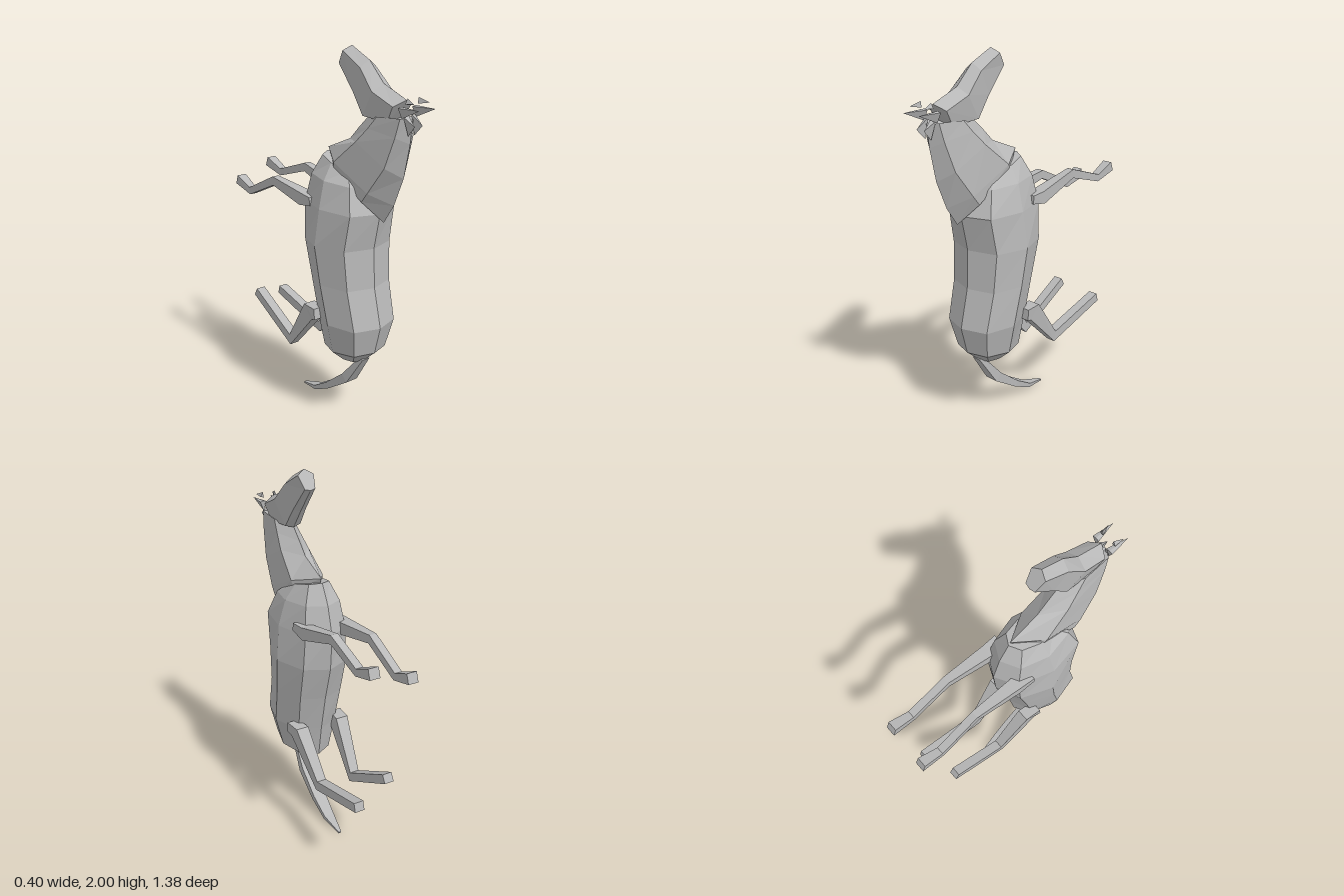
import * as THREE from 'three';

const grey = new THREE.MeshStandardMaterial({ color: 0xb8b8b8, flatShading: true });
grey.name = 'grey coat';

// Closed loft through rings of [x, y, z] points, capped at both ends.
function loft(name, rings) {
  const n = rings[0].length, tris = [];
  for (let i = 0; i < rings.length - 1; i++) {
    for (let j = 0; j < n; j++) {
      const k = (j + 1) % n, a = rings[i], b = rings[i + 1];
      tris.push([a[j], a[k], b[k]], [a[j], b[k], b[j]]);
    }
  }
  const first = rings[0], last = rings[rings.length - 1];
  for (let j = 1; j < n - 1; j++) {
    tris.push([first[0], first[j + 1], first[j]], [last[0], last[j], last[j + 1]]);
  }
  // Turn the faces outwards whatever direction the rings run in
  const v = (p) => new THREE.Vector3(...p);
  const volume = tris.reduce((s, [a, b, c]) => s + v(a).dot(v(b).cross(v(c))), 0);
  const points = tris.flatMap((t) => (volume < 0 ? [t[0], t[2], t[1]] : t)).flat();
  const geometry = new THREE.BufferGeometry();
  geometry.setAttribute('position', new THREE.Float32BufferAttribute(points, 3));
  geometry.computeVertexNormals();
  const mesh = new THREE.Mesh(geometry, grey);
  mesh.name = name;
  return mesh;
}

// Mirrored ring from half-section points [x, y, z] listed from ridge to underside.
const mirrorRing = (half) => [
  ...half,
  ...half.slice(1, -1).reverse().map(([x, y, z]) => [-x, y, z]),
];

// Four-sided limb along stations [x, y, z, half width, half thickness].
function limb(name, stations) {
  const rings = stations.map(([x, y, z, w, t], i) => {
    const a = stations[Math.max(i - 1, 0)], b = stations[Math.min(i + 1, stations.length - 1)];
    const len = Math.hypot(b[1] - a[1], b[2] - a[2]);
    const ny = (-(b[2] - a[2]) / len) * t, nz = ((b[1] - a[1]) / len) * t;
    return [
      [x - w, y + ny, z + nz], [x + w, y + ny, z + nz],
      [x + w, y - ny, z - nz], [x - w, y - ny, z - nz],
    ];
  });
  return loft(name, rings);
}

export function createModel() {
  const model = new THREE.Group();
  model.name = 'rearing horse';

  // Trunk: back y, belly y, back z, belly z, back edge width, side width, belly edge width
  const trunk = [
    [0.355, 0.345, 0.29, 0.12, 0.05, 0.065, 0.045],
    [0.435, 0.40, 0.38, 0.03, 0.11, 0.14, 0.09],
    [0.59, 0.585, 0.42, 0.0, 0.14, 0.18, 0.115],
    [0.80, 0.80, 0.37, -0.045, 0.145, 0.19, 0.125],
    [1.01, 1.0, 0.36, -0.10, 0.155, 0.20, 0.13],
    [1.20, 1.20, 0.40, -0.114, 0.148, 0.18, 0.12],
    [1.33, 1.35, 0.34, -0.07, 0.11, 0.142, 0.10],
    [1.39, 1.455, 0.26, -0.01, 0.06, 0.085, 0.06],
  ];
  model.add(loft('body', trunk.map(([yb, yv, zb, zv, wb, ws, wv]) => {
    const at = (x, t) => [x, yb + (yv - yb) * t, zb + (zv - zb) * t];
    return mirrorRing([at(0, 0), at(wb, 0.11), at(ws, 0.5), at(wv, 0.87), at(0, 1)]);
  })));

  // Neck: crest, crest edge, throat edge, throat
  model.add(loft('neck', [
    [[0, 1.164, 0.427], [0.09, 1.27, 0.36], [0.085, 1.39, 0.14], [0, 1.43, 0.02]],
    [[0, 1.265, 0.495], [0.09, 1.32, 0.40], [0.095, 1.434, 0.155], [0, 1.476, 0.0]],
    [[0, 1.41, 0.555], [0.075, 1.46, 0.50], [0.08, 1.556, 0.30], [0, 1.545, 0.17]],
    [[0, 1.58, 0.59], [0.06, 1.61, 0.55], [0.065, 1.63, 0.37], [0, 1.61, 0.235]],
    [[0, 1.69, 0.60], [0.05, 1.70, 0.57], [0.055, 1.69, 0.42], [0, 1.67, 0.30]],
  ].map(mirrorRing)));

  // Head: ridge, cheek, jaw edge, chin
  model.add(loft('head', [
    [[0, 1.78, 0.56], [0.06, 1.75, 0.53], [0.045, 1.67, 0.48], [0, 1.66, 0.475]],
    [[0, 1.84, 0.405], [0.066, 1.805, 0.395], [0.045, 1.68, 0.31], [0, 1.67, 0.30]],
    [[0, 1.94, 0.305], [0.052, 1.905, 0.295], [0.038, 1.785, 0.23], [0, 1.773, 0.22]],
    [[0, 2.0, 0.178], [0.045, 1.975, 0.16], [0.03, 1.912, 0.115], [0, 1.905, 0.11]],
  ].map(mirrorRing)));

  // Ears and the small tufts beside them
  for (const s of [-1, 1]) {
    const spike = (name, base, tip) => model.add(loft(name, [
      base.map(([x, y, z]) => [s * x, y, z]),
      base.map(() => [s * tip[0], tip[1], tip[2]]),
    ]));
    spike('ear', [[0.025, 1.75, 0.57], [0.045, 1.755, 0.57], [0.065, 1.75, 0.57], [0.045, 1.70, 0.575]],
      [0.052, 1.75, 0.69]);
    spike('earTuft', [[0.035, 1.795, 0.60], [0.05, 1.77, 0.60], [0.03, 1.765, 0.60]], [0.05, 1.775, 0.655]);
    spike('maneTuft', [[0.01, 1.72, 0.58], [0.04, 1.71, 0.58], [0.02, 1.62, 0.595]], [0.025, 1.67, 0.64]);
  }

  // Front legs: the left one is raised higher
  for (const [s, drop, name] of [[1, 0, 'leftFrontLeg'], [-1, 1, 'rightFrontLeg']]) {
    model.add(limb(name, [
      [s * 0.125, 1.23 - 0.02 * drop, 0.03, 0.028, 0.022],
      [s * 0.112, 1.222 - 0.015 * drop, -0.06, 0.036, 0.034],
      [s * 0.109, 1.292 - 0.045 * drop, -0.325, 0.021, 0.024],
      [s * 0.109, 1.219 - 0.077 * drop, -0.557, 0.021, 0.02],
      [s * 0.107, 1.264 - 0.077 * drop, -0.68, 0.028, 0.027],
    ]));
  }

  // Hind legs: thigh, hock, hoof
  const hind = {
    leftHindLeg: [1, [0.358, -0.188], [0.468, -0.585]],
    rightHindLeg: [-1, [0.342, -0.185], [0.53, -0.52]],
  };
  for (const [name, [s, hock, hoof]] of Object.entries(hind)) {
    model.add(limb(name, [
      [s * 0.135, 0.60, 0.085, 0.034, 0.03],
      [s * 0.125, 0.594, 0.02, 0.036, 0.048],
      [s * 0.107, hock[0], hock[1], 0.027, 0.03],
      [s * 0.107, hoof[0], hoof[1], 0.027, 0.025],
    ]));
  }

  // Tail sweeping down and back
  model.add(limb('tail', [
    [0, 0.38, 0.305, 0.025, 0.012],
    [0, 0.215, 0.18, 0.038, 0.027],
    [0, 0.105, 0.03, 0.038, 0.018],
    [0, 0.037, -0.09, 0.03, 0.012],
    [0, 0.008, -0.22, 0.008, 0.004],
  ]));

  return model;
}
